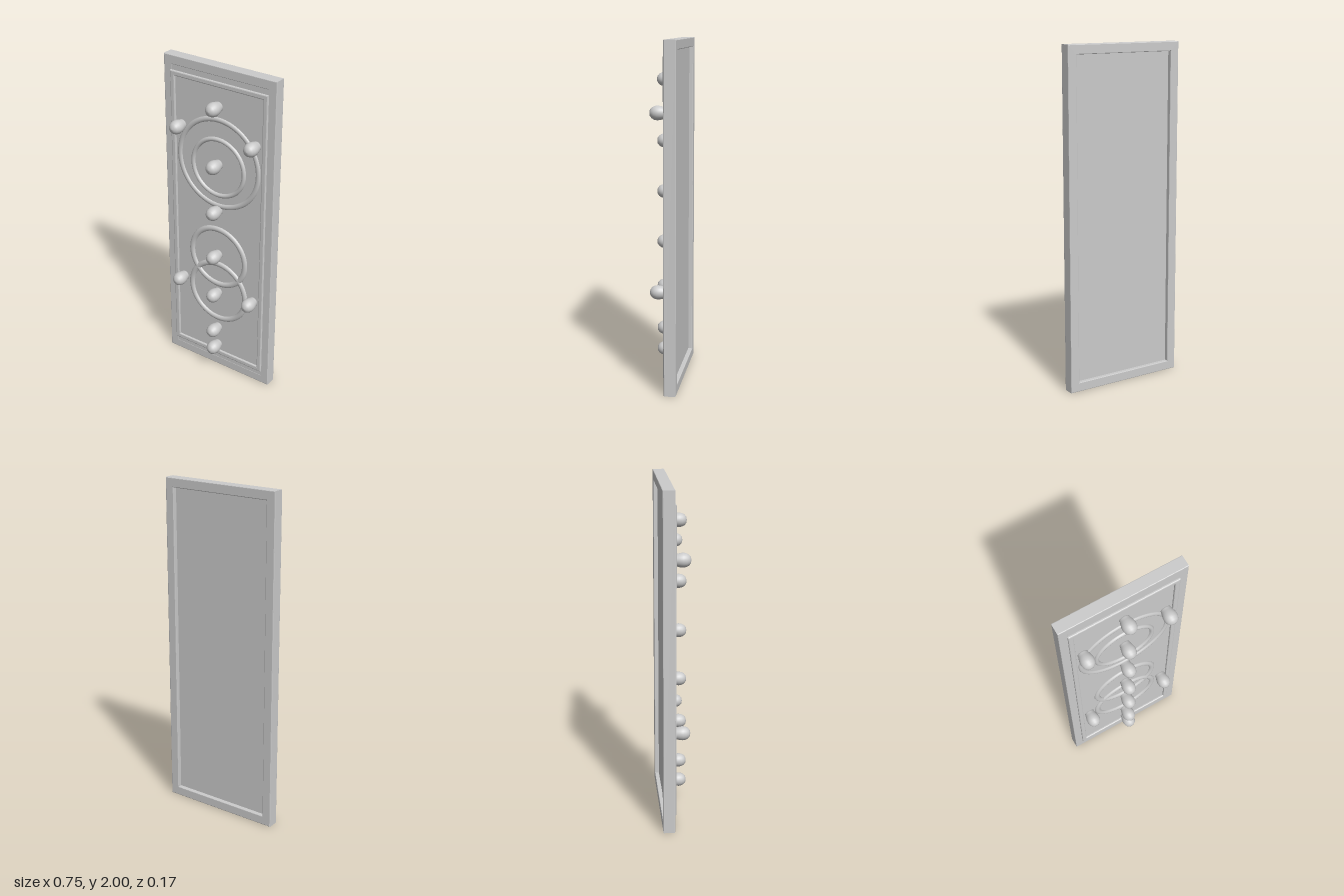
import * as THREE from 'three';

const W = 0.373, H = 1; // half width and half height of the panel
const mat = new THREE.MeshStandardMaterial({ color: 0xcccccc });

function add(group, name, geometry, x = 0, y = 0, z = 0) {
  const mesh = new THREE.Mesh(geometry, mat);
  mesh.name = name;
  mesh.position.set(x, y, z);
  group.add(mesh);
  return mesh;
}

function rectangle(target, w, h) {
  target.moveTo(-w, -h);
  target.lineTo(w, -h);
  target.lineTo(w, h);
  target.lineTo(-w, h);
  target.closePath();
  return target;
}

// Rectangular frame from z0 to z1 with softly bevelled edges
function frame(w, h, border, z0, z1, bevel) {
  const shape = rectangle(new THREE.Shape(), w - bevel, h - bevel);
  shape.holes.push(rectangle(new THREE.Path(), w - border + bevel, h - border + bevel));
  const geometry = new THREE.ExtrudeGeometry(shape, {
    depth: z1 - z0 - 2 * bevel, bevelEnabled: true,
    bevelSize: bevel, bevelThickness: bevel, bevelSegments: 2,
  });
  return geometry.translate(0, 0, z0 + bevel);
}

// Rounded, flattened raised ring
function ring(radius, width, height) {
  return new THREE.TorusGeometry(radius, width, 12, 72).scale(1, 1, height / width);
}

export function createModel() {
  const model = new THREE.Group();

  // Outer frame, open at the back, with the thin field set inside it
  add(model, 'outerFrame', frame(W, H, 0.055, -0.084, -0.015, 0.004), 0, H);
  add(model, 'field', new THREE.BoxGeometry(2 * W - 0.03, 2 * H - 0.03, 0.043), 0, H, -0.0375);
  add(model, 'innerMoulding', frame(0.325, 0.915, 0.03, -0.03, -0.004, 0.006), 0, H);

  // Raised rings: two concentric above, two interlocking below
  const rings = [
    ['largeUpperRing', 1.42, 0.27, 0.016, 0.011],
    ['smallUpperRing', 1.395, 0.175, 0.014, 0.014],
    ['upperLinkedRing', 0.8, 0.19, 0.018, 0.014],
    ['lowerLinkedRing', 0.555, 0.195, 0.018, 0.014],
  ];
  for (const [name, y, radius, width, height] of rings) {
    add(model, name, ring(radius, width, height), 0, y, -0.017);
  }

  // Round-headed studs with a slight neck, projecting forwards
  const profile = [[0, -0.025], [0.03, -0.025], [0.03, -0.01], [0.035, 0.005], [0.039, 0.02],
    [0.041, 0.037], [0.038, 0.054], [0.03, 0.069], [0.017, 0.079], [0, 0.082]]
    .map(([r, z]) => new THREE.Vector2(r, z));
  const studGeometry = new THREE.LatheGeometry(profile, 28).rotateX(Math.PI / 2);
  const studs = new THREE.Group();
  studs.name = 'studs';
  model.add(studs);
  for (const y of [1.77, 1.417, 1.12, 0.82, 0.55, 0.29, 0.16]) {
    add(studs, 'centreStud', studGeometry, 0, y);
  }
  for (const y of [1.6, 0.578]) {
    for (const side of [-1, 1]) add(studs, 'sideStud', studGeometry, side * 0.253, y);
  }

  return model;
}
